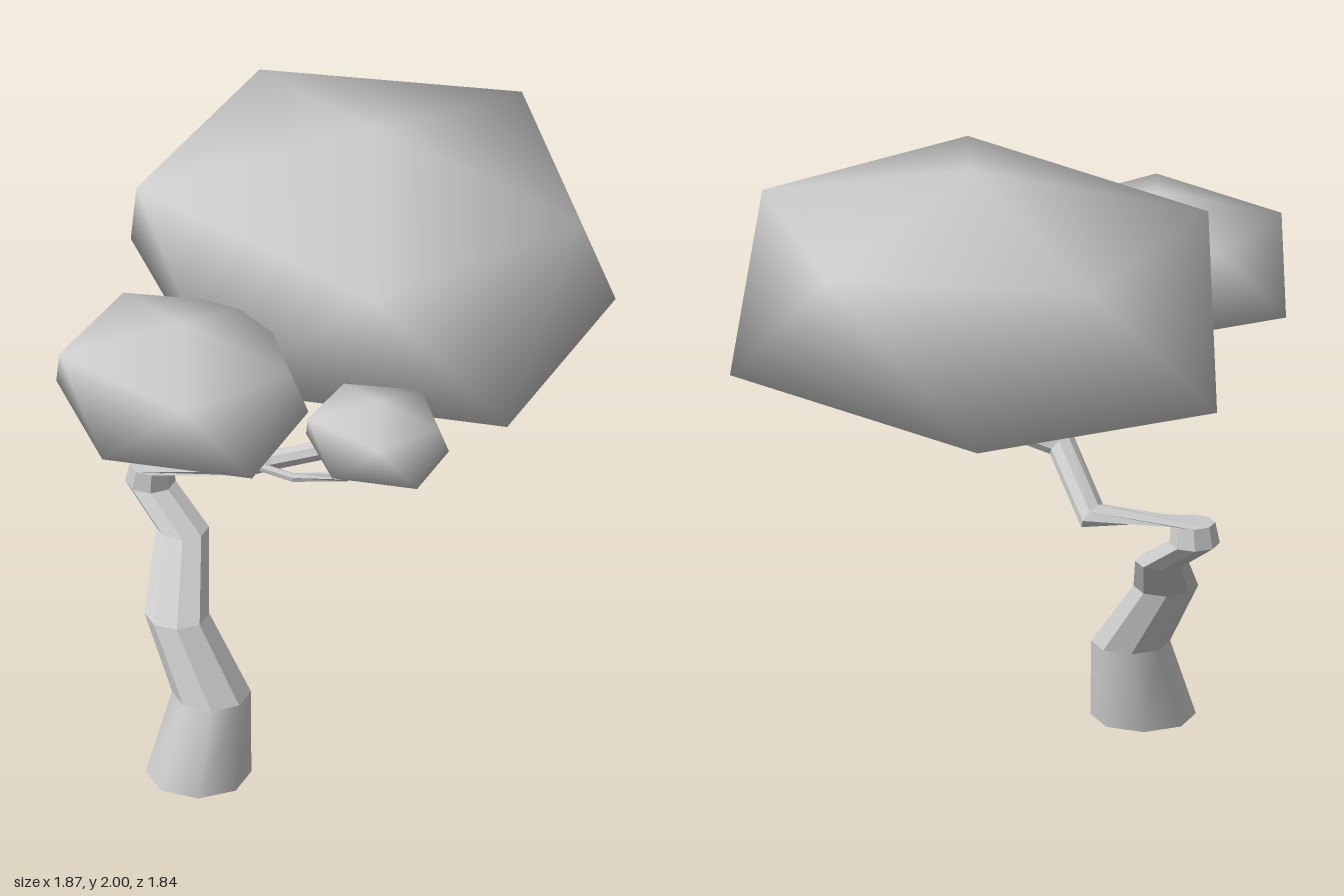
import * as THREE from 'three';
import { toCreasedNormals } from 'three/addons/utils/BufferGeometryUtils.js';

const smoothMat = new THREE.MeshStandardMaterial({ color: 0xcccccc });
const flatMat = new THREE.MeshStandardMaterial({ color: 0xcccccc, flatShading: true });

// Loft through rings [x, y, z, radius, squash]; a ring without squash lies level,
// otherwise it stands across the path and is flattened by that factor.
function loft(rings, sides) {
  const pos = [], index = [];
  const pts = rings.map(([x, y, z]) => new THREE.Vector3(x, y, z));
  const last = rings.length - 1;
  rings.forEach(([, , , r, squash], i) => {
    const t = new THREE.Vector3(0, 1, 0);
    if (squash) {
      t.set(0, 0, 0);
      if (i > 0) t.add(pts[i].clone().sub(pts[i - 1]).normalize());
      if (i < last) t.add(pts[i + 1].clone().sub(pts[i]).normalize());
      t.normalize();
    }
    const u = new THREE.Vector3(1, 0, 0).addScaledVector(t, -t.x).normalize();
    const v = new THREE.Vector3().crossVectors(t, u);
    for (let j = 0; j < sides; j++) {
      const a = ((j + 0.5) / sides) * Math.PI * 2;
      const p = pts[i].clone().addScaledVector(u, r * Math.cos(a))
        .addScaledVector(v, r * (squash || 1) * Math.sin(a));
      pos.push(p.x, p.y, p.z);
    }
  });
  const start = pos.length / 3;
  pos.push(...pts[0].toArray(), ...pts[last].toArray());
  for (let j = 0; j < sides; j++) {
    const k = (j + 1) % sides;
    for (let i = 0; i < last; i++) {
      const a = i * sides + j, b = i * sides + k;
      index.push(a, b, b + sides, a, b + sides, a + sides);
    }
    index.push(start, k, j, start + 1, last * sides + j, last * sides + k);
  }
  const g = new THREE.BufferGeometry();
  g.setAttribute('position', new THREE.Float32BufferAttribute(pos, 3));
  g.setIndex(index);
  g.computeVertexNormals();
  return g;
}

// Irregular twenty-faced leaf clump, two staggered rings of five [x, z]
function clumpGeometry() {
  const upper = [[0.61, -0.29], [0.48, 0.51], [-0.29, 0.69], [-0.71, -0.21], [-0.09, -0.72]];
  const lower = [[0.71, 0.23], [0.11, 0.81], [-0.63, 0.27], [-0.54, -0.67], [0.28, -0.70]];
  const pos = [0, 0.42, 0, 0, -0.42, 0];
  upper.forEach(([x, z]) => pos.push(x, 0.25, z));
  lower.forEach(([x, z]) => pos.push(x, -0.23, z));
  const index = [];
  for (let i = 0; i < 5; i++) {
    const n = (i + 1) % 5, u = 2 + i, un = 2 + n, l = 7 + i, ln = 7 + n;
    index.push(0, un, u, u, un, l, un, ln, l, 1, l, ln);
  }
  const g = new THREE.BufferGeometry();
  g.setAttribute('position', new THREE.Float32BufferAttribute(pos, 3));
  g.setIndex(index);
  g.computeVertexNormals();
  return g;
}

export function createModel() {
  const tree = new THREE.Group();
  tree.name = 'bonsaiTree';
  const add = (name, geometry, material) => {
    const m = new THREE.Mesh(geometry, material);
    m.name = name;
    tree.add(m);
    return m;
  };

  // Smooth flared foot of the trunk
  const neck = [-0.43, 0.26, 0.055, 0.122];
  add('trunkBase', toCreasedNormals(loft([[-0.485, 0, 0.085, 0.163], neck], 8), 0.9), smoothMat);

  // Winding faceted trunk
  add('trunk', loft([
    neck,
    [-0.49, 0.48, -0.08, 0.10],
    [-0.385, 0.65, -0.29, 0.082],
    [-0.435, 0.75, -0.43, 0.078],
    [-0.435, 0.815, -0.42, 0.068],
    [-0.155, 0.83, -0.28, 0.058, 0.6],
    [-0.155, 0.985, -0.04, 0.054, 0.6],
    [0.10, 1.08, 0.11, 0.045, 0.7],
    [0.09, 1.21, 0.41, 0.034, 0.8],
    [-0.06, 1.245, 0.54, 0.024, 0.9],
  ], 8), flatMat);

  // Thin branches that carry the leaf clumps
  const branches = {
    backBranch: [[0.09, 1.08, 0.12, 0.035, 0.8], [0.14, 1.2, 0.01, 0.03, 0.9], [0.16, 1.32, -0.1, 0.025, 1]],
    frontBranch: [[-0.03, 1.235, 0.52, 0.022, 1], [-0.16, 1.28, 0.58, 0.02, 1],
      [-0.08, 1.33, 0.57, 0.017, 1], [-0.06, 1.42, 0.6, 0.014, 1]],
    rightBranch: [[-0.03, 1.24, 0.52, 0.02, 1], [-0.19, 1.27, 0.57, 0.017, 1],
      [-0.34, 1.26, 0.5, 0.015, 1], [-0.5, 1.295, 0.36, 0.013, 1]],
  };
  for (const [name, rings] of Object.entries(branches)) add(name, loft(rings, 6), flatMat);

  // Leaf clumps: one shape at three sizes
  const leaf = clumpGeometry();
  [
    ['largeFoliage', 0.22, 1.58, -0.2, 1],
    ['mediumFoliage', -0.57, 1.465, 0.167, 0.52],
    ['smallFoliage', -0.13, 1.465, 0.68, 0.295],
  ].forEach(([name, x, y, z, s]) => {
    const m = add(name, leaf, smoothMat);
    m.position.set(x, y, z);
    m.scale.setScalar(s);
  });
  return tree;
}
